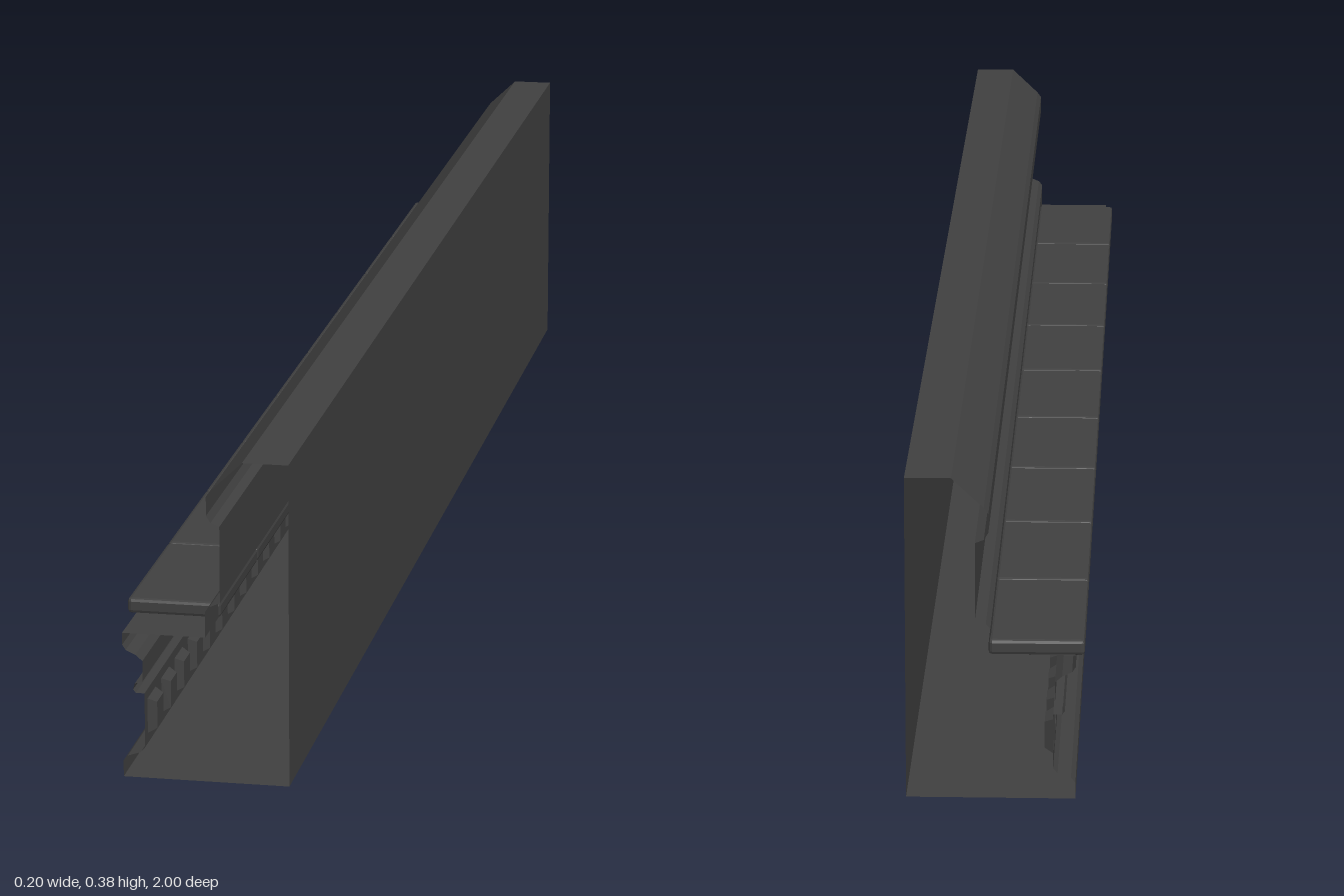
import * as THREE from 'three';
import { RoundedBoxGeometry } from 'three/addons/geometries/RoundedBoxGeometry.js';

const material = new THREE.MeshStandardMaterial({
  color: 0x404040, flatShading: true, side: THREE.DoubleSide,
});

const UNITS = 28;            // recesses along the wall
const PITCH = 2 / UNITS;
const BAND_X = -0.065, BAND_LOW = 0.04, BAND_HIGH = 0.1;
const REC = { low: 0.048, high: 0.089, half: 0.021, depth: 0.01, inset: 0.005 };

// Surface between successive rings of [x, y, z] points
function loft(rings, closed = false) {
  const pos = [];
  for (let r = 0; r < rings.length - 1; r++) {
    const p = rings[r], q = rings[r + 1], n = p.length;
    for (let i = 0; i < (closed ? n : n - 1); i++) {
      const j = (i + 1) % n;
      pos.push(...p[i], ...q[i], ...q[j], ...p[i], ...q[j], ...p[j]);
    }
  }
  const g = new THREE.BufferGeometry();
  g.setAttribute('position', new THREE.Float32BufferAttribute(pos, 3));
  g.computeVertexNormals();
  return g;
}

function add(parent, name, geometry) {
  const mesh = new THREE.Mesh(geometry, material);
  mesh.name = name;
  parent.add(mesh);
  return mesh;
}

// Profile run along the whole length, open at both ends
const run = (profile) => loft([-1, 1].map((z) => profile.map(([x, y]) => [x, y, z])));

export function createModel() {
  const model = new THREE.Group();
  model.name = 'parapetWall';

  // Plinth: underside and base moulding up to the recessed band
  add(model, 'plinth', run([
    [0.1, 0], [-0.09, 0], [-0.09, 0.019], [-0.085, 0.025], [-0.07, 0.03],
    [BAND_X, 0.036], [BAND_X, BAND_LOW],
  ]));

  // Small string moulding and ledge that carries the slabs
  add(model, 'ledge', run([
    [BAND_X, BAND_HIGH], [-0.075, 0.1], [-0.078, 0.104], [-0.076, 0.111], [-0.067, 0.114],
    [-0.067, 0.138], [-0.075, 0.145], [-0.086, 0.15], [-0.09, 0.156], [-0.09, 0.17], [0.005, 0.17],
  ]));

  // Upper wall with foot moulding, coping and flat back panel
  add(model, 'upperWall', run([
    [0.005, 0.17], [0.005, 0.2], [0.01, 0.206], [0.022, 0.211], [0.022, 0.3],
    [0.012, 0.304], [0.007, 0.312], [0.007, 0.334], [0.012, 0.341], [0.048, 0.375], [0.1, 0.375],
  ]));
  add(model, 'backPanel', run([[0.1, 0.375], [0.1, 0]]));

  // Band with a row of openings
  const band = new THREE.Shape([[-1, BAND_LOW], [1, BAND_LOW], [1, BAND_HIGH], [-1, BAND_HIGH]]
    .map(([z, y]) => new THREE.Vector2(z, y)));
  const centres = Array.from({ length: UNITS }, (_, i) => -1 + (i + 0.5) * PITCH);
  for (const z of centres) {
    band.holes.push(new THREE.Path([
      [z - REC.half, REC.low], [z - REC.half, REC.high],
      [z + REC.half, REC.high], [z + REC.half, REC.low],
    ].map(([u, v]) => new THREE.Vector2(u, v))));
  }
  add(model, 'band', new THREE.ShapeGeometry(band).rotateY(-Math.PI / 2).translate(BAND_X, 0, 0));

  // Sunken panels with sloping sides behind the openings
  const ring = (x, inset) => {
    const h = REC.half - inset, lo = REC.low + inset, hi = REC.high - inset;
    return [[x, lo, h], [x, lo, -h], [x, hi, -h], [x, hi, h]];
  };
  const floorX = BAND_X + REC.depth;
  const sides = loft([ring(BAND_X, 0), ring(floorX, REC.inset)], true);
  const floor = new THREE.PlaneGeometry(2 * (REC.half - REC.inset), REC.high - REC.low - 2 * REC.inset)
    .rotateY(-Math.PI / 2).translate(floorX, (REC.low + REC.high) / 2, 0);
  for (const z of centres) {
    const panel = new THREE.Group();
    panel.name = 'sunkenPanel';
    add(panel, 'panelSides', sides);
    add(panel, 'panelFloor', floor);
    panel.position.z = z;
    model.add(panel);
  }

  // Nine seat slabs, each three panels long
  const slabLength = 3 * PITCH;
  const slab = new RoundedBoxGeometry(0.107, 0.018, slabLength - 0.001, 1, 0.004);
  for (let i = 0; i < 9; i++) {
    add(model, 'seatSlab', slab).position.set(-0.0465, 0.178, -1 + (i + 0.5) * slabLength);
  }

  return model;
}
